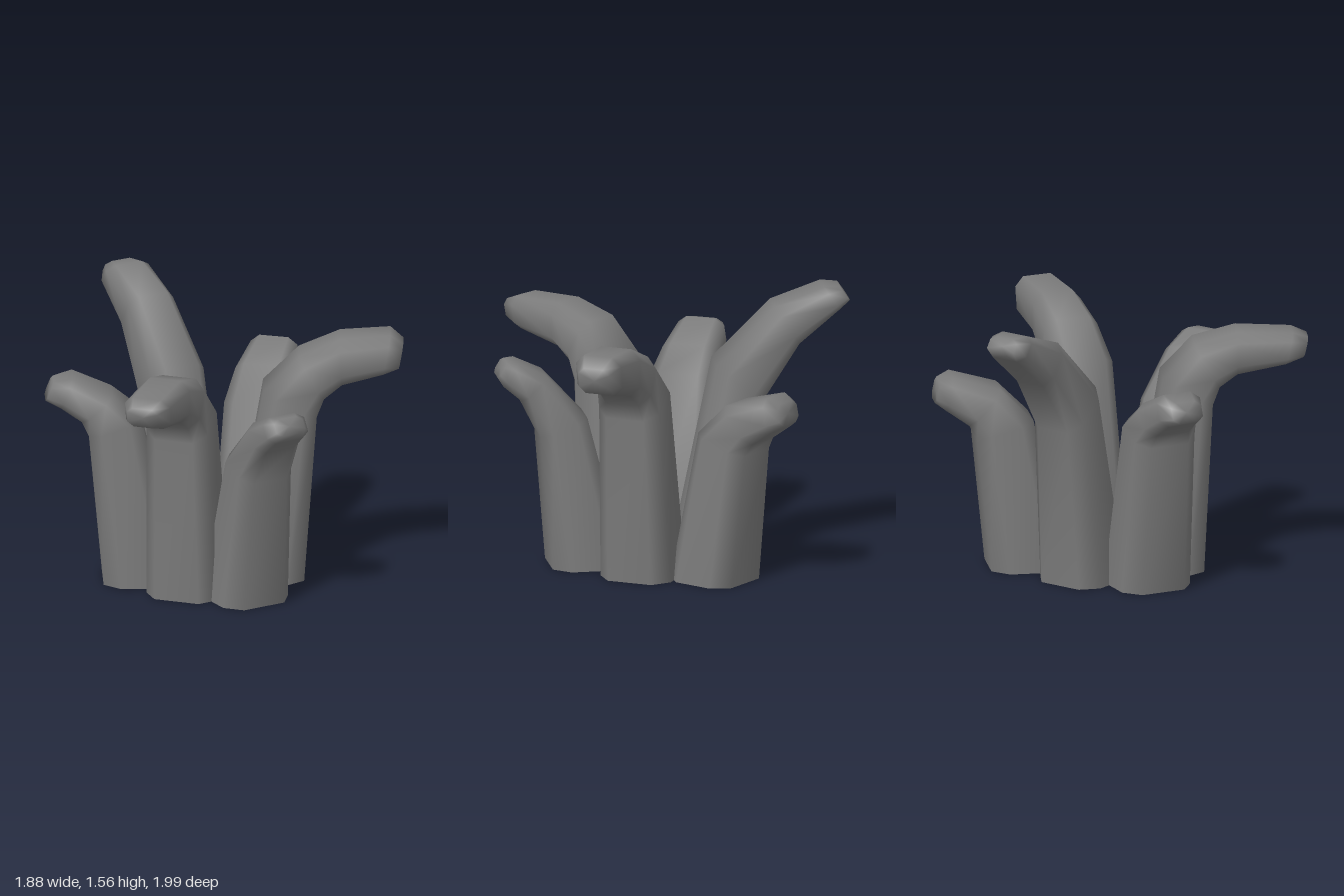
import * as THREE from 'three';

// Each stalk leans outward along its own heading. A ring is
// [outer distance, outer height, inner distance, inner height, width];
// tip is the [distance, height] of the blunt end.
const BASE = [0.21, 0, -0.21, 0, 0.42];
const STALKS = [
  { name: 'frontStalk', at: [-0.06, 0.48], heading: [0.03, 1], tip: [0.485, 1.145], rings: [
    [0.275, 0.76, 0.01, 0.86, 0.34], [0.38, 0.97, 0.24, 1.11, 0.29], [0.48, 1.055, 0.4, 1.185, 0.27]] },
  { name: 'backStalk', at: [-0.06, -0.22], heading: [0, -1], tip: [0.75, 1.515], rings: [
    [0.28, 0.92, 0.02, 1.13, 0.34], [0.49, 1.24, 0.35, 1.46, 0.29], [0.72, 1.43, 0.63, 1.56, 0.27]] },
  { name: 'frontLeftStalk', at: [0.235, 0.2], heading: [0.87, 0.49], tip: [0.75, 1.3], rings: [
    [0.28, 0.96, -0.02, 1.11, 0.36], [0.32, 1.06, 0.18, 1.31, 0.32],
    [0.42, 1.14, 0.41, 1.41, 0.29], [0.65, 1.2, 0.69, 1.43, 0.27]] },
  { name: 'frontRightStalk', at: [-0.285, 0.24], heading: [-0.75, 0.67], tip: [0.785, 1.27], rings: [
    [0.26, 0.96, -0.02, 1.12, 0.36], [0.3, 1.06, 0.16, 1.31, 0.32],
    [0.4, 1.13, 0.4, 1.375, 0.29], [0.67, 1.18, 0.71, 1.36, 0.27]] },
  { name: 'backLeftStalk', at: [0.37, -0.185], heading: [0.7, -0.72], tip: [0.505, 1.03], rings: [
    [0.29, 0.77, -0.03, 0.86, 0.37], [0.33, 0.84, 0.15, 1.04, 0.32], [0.46, 0.93, 0.42, 1.12, 0.27]] },
  { name: 'backRightStalk', at: [-0.41, -0.09], heading: [-0.89, -0.45], tip: [0.51, 1.12], rings: [
    [0.29, 0.87, 0, 0.97, 0.37], [0.33, 0.95, 0.16, 1.1, 0.32], [0.45, 1.03, 0.38, 1.2, 0.27]] },
];

// Chamfered-square cross-section: [across the width, toward the outer side]
const SECTION = [
  [-0.62, 1], [0.62, 1], [1, 0.55], [1, -0.55],
  [0.62, -1], [-0.62, -1], [-1, -0.55], [-1, 0.55],
];

function stalkGeometry(rings, tip) {
  const all = [BASE, ...rings];
  // Shrunken last ring forms the bevelled end
  const [od, oy, id, iy, w] = all[all.length - 1];
  const k = 0.32;
  const hd = (od - id) * k, hy = (oy - iy) * k;
  all.push([tip[0] + hd, tip[1] + hy, tip[0] - hd, tip[1] - hy, w * 0.68]);

  const positions = [], index = [], n = SECTION.length;
  for (const [oD, oY, iD, iY, width] of all) {
    for (const [s, t] of SECTION) {
      positions.push(s * width / 2,
        (oY + iY) / 2 + t * (oY - iY) / 2,
        (oD + iD) / 2 + t * (oD - iD) / 2);
    }
  }
  for (let r = 0; r < all.length - 1; r++) {
    for (let i = 0; i < n; i++) {
      const a = r * n + i, b = r * n + (i + 1) % n;
      index.push(a, b, b + n, a, b + n, a + n);
    }
  }
  // Blunt end; the foot stays open
  const last = (all.length - 1) * n;
  positions.push(0, tip[1], tip[0]);
  const centre = all.length * n;
  for (let i = 0; i < n; i++) index.push(last + i, last + (i + 1) % n, centre);

  const geometry = new THREE.BufferGeometry();
  geometry.setAttribute('position', new THREE.Float32BufferAttribute(positions, 3));
  geometry.setIndex(index);
  geometry.computeVertexNormals();
  return geometry;
}

export function createModel() {
  const group = new THREE.Group();
  group.name = 'stalkCluster';
  const material = new THREE.MeshStandardMaterial({ color: 0x7c7c7c, side: THREE.DoubleSide });
  for (const { name, at, heading, tip, rings } of STALKS) {
    const stalk = new THREE.Mesh(stalkGeometry(rings, tip), material);
    stalk.name = name;
    stalk.position.set(at[0], 0, at[1]);
    stalk.rotation.y = Math.atan2(heading[0], heading[1]);
    group.add(stalk);
  }
  return group;
}
